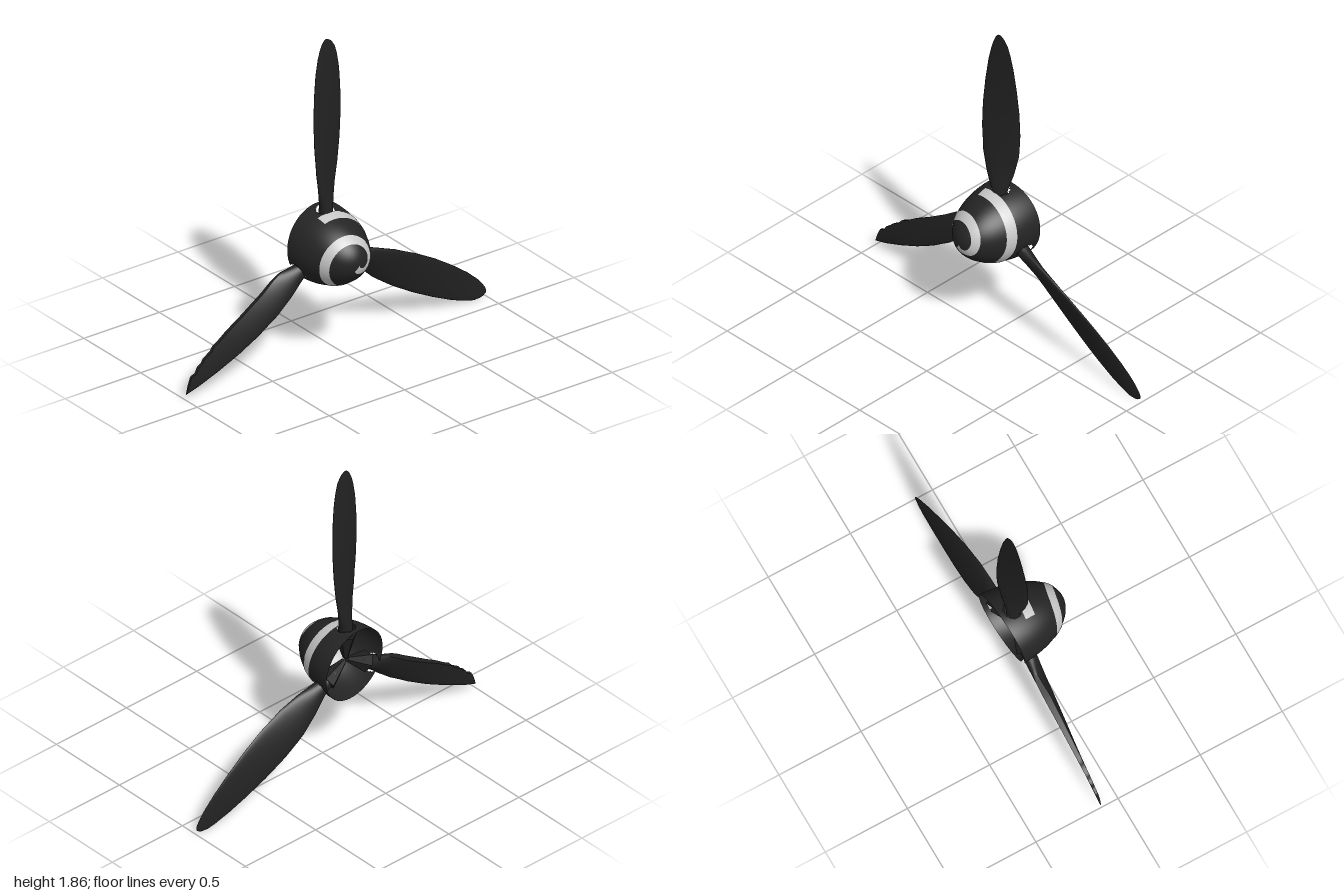
import * as THREE from 'three';

const HUB = { x: -0.065, y: 0.63 };
const BLADE_Z = -0.108;
const BLADE_ANGLES = [90, -30, 210].map(d => d * Math.PI / 180);

// Linear lookup in a short list of [key, value] pairs
function lookup(table, k) {
  if (k <= table[0][0]) return table[0][1];
  for (let i = 1; i < table.length; i++) {
    const [k0, v0] = table[i - 1], [k1, v1] = table[i];
    if (k <= k1) return v0 + (v1 - v0) * (k - k0) / (k1 - k0);
  }
  return table[table.length - 1][1];
}

// Surface from a function of (u, v); v may close on itself, cells may be skipped
function surface(fn, nu, nv, closed, skip = () => false) {
  const pos = [], index = [], cols = closed ? nv : nv + 1;
  for (let i = 0; i <= nu; i++)
    for (let j = 0; j < cols; j++) pos.push(...fn(i / nu, j / nv));
  for (let i = 0; i < nu; i++)
    for (let j = 0; j < nv; j++) {
      if (skip((i + 0.5) / nu, (j + 0.5) / nv)) continue;
      const a = i * cols + j, b = i * cols + (j + 1) % cols;
      index.push(a, a + cols, b, b, a + cols, b + cols);
    }
  const g = new THREE.BufferGeometry();
  g.setAttribute('position', new THREE.Float32BufferAttribute(pos, 3));
  g.setIndex(index);
  g.computeVertexNormals();
  return g;
}

// Spinner: half ellipsoid with a slightly tilted open rim
function spinnerPoint(a, phi, offset = 0) {
  const r = (0.215 + offset) * Math.sin(a);
  const x = r * Math.cos(phi), y = r * Math.sin(phi);
  const tilt = (a / (Math.PI / 2)) ** 2;
  return [x, y, -0.18 + (0.37 + offset) * Math.cos(a) - tilt * (0.08 * x + 0.055 * y)];
}

// Openings in the spinner around the blade roots
function inBladeHole(a, phi) {
  const [x, y, z] = spinnerPoint(a, phi);
  return BLADE_ANGLES.some(t => {
    const along = x * Math.cos(t) + y * Math.sin(t);
    const across = -x * Math.sin(t) + y * Math.cos(t);
    return along > 0 && Math.hypot(across, z - BLADE_Z + 0.006) < 0.05;
  });
}

// Spiral stripe: polar angle of its middle against degrees around the nose
const SPIRAL = [[-130, 0.09], [-90, 0.16], [0, 0.38], [90, 0.61], [180, 0.785],
  [270, 0.945], [360, 1.07], [472, 1.2]];

function spiralGeometry(offset) {
  return surface((u, v) => {
    const deg = -130 + 602 * v;
    const half = 0.115 - 0.033 * v;
    const a = Math.max(0.002, lookup(SPIRAL, deg) + (u * 2 - 1) * half);
    return spinnerPoint(a, deg * Math.PI / 180, offset);
  }, 6, 160, false);
}

// Blade: half chord and half thickness against radius
const CHORD = [[0.1, 0.038], [0.2, 0.042], [0.25, 0.055], [0.32, 0.076], [0.45, 0.103],
  [0.6, 0.114], [0.75, 0.113], [0.9, 0.102], [1.03, 0.086], [1.12, 0.067], [1.17, 0.051],
  [1.205, 0.031], [1.219, 0.016], [1.225, 0]];
const THICK = [[0.1, 0.038], [0.2, 0.038], [0.35, 0.024], [0.6, 0.017], [0.9, 0.011],
  [1.15, 0.005], [1.225, 0]];
// Ragged trailing edge of the damaged blade
const BROKEN = [[0.2, 0.07], [0.3, 0.068], [0.36, 0.066], [0.44, 0.056], [0.63, 0.047],
  [0.72, 0.046], [0.8, 0.039], [0.83, 0.041], [0.86, 0.029], [0.92, 0.027], [0.94, 0.015],
  [0.97, 0.017], [1.0, -0.003], [1.03, 0.004], [1.07, -0.025], [1.11, -0.06]];

function bladeGeometry(damaged) {
  const length = damaged ? 1.11 : 1.225;
  return surface((u, v) => {
    const r = 0.1 + (length - 0.1) * (1 - (1 - u) ** 1.4);
    const half = lookup(CHORD, r), thick = lookup(THICK, r);
    const mid = 0.009 * Math.min(1, Math.max(0, (r - 0.2) / 0.3)) * (half > 0.05 ? 1 : half / 0.05);
    const t = v * Math.PI * 2;
    let x = mid + half * Math.cos(t);
    if (damaged) x = Math.max(mid - half, Math.min(x, lookup(BROKEN, r)));
    const q = half > 0 ? (x - mid) / half : 1;
    const z = thick * Math.sqrt(Math.max(0, 1 - q * q)) * Math.sign(Math.sin(t));
    // Pitch fades out towards the tip
    const p = 0.6 * (1 - r / 1.27);
    return [x * Math.cos(p) + z * Math.sin(p), r, z * Math.cos(p) - x * Math.sin(p)];
  }, 60, 28, true);
}

export function createModel() {
  const spinnerPaint = new THREE.MeshStandardMaterial({ color: 0x242424, side: THREE.DoubleSide });
  spinnerPaint.name = 'spinner black';
  const bladePaint = new THREE.MeshStandardMaterial({ color: 0x222222, side: THREE.DoubleSide });
  bladePaint.name = 'blade black';
  const rootPaint = new THREE.MeshStandardMaterial({ color: 0x202020, flatShading: true });
  rootPaint.name = 'root black';
  const spiralPaint = new THREE.MeshStandardMaterial({ color: 0xc8c8c8, side: THREE.DoubleSide });
  spiralPaint.name = 'spiral grey';

  const model = new THREE.Group();
  model.name = 'propeller';
  const hub = new THREE.Group();
  hub.name = 'hub';
  hub.position.set(HUB.x, HUB.y, 0);
  model.add(hub);

  const add = (parent, name, geometry, material) => {
    const mesh = new THREE.Mesh(geometry, material);
    mesh.name = name;
    parent.add(mesh);
    return mesh;
  };

  // Open shell of the nose cone
  const toA = u => 0.001 + u * (Math.PI / 2 - 0.001);
  add(hub, 'spinner', surface((u, v) => spinnerPoint(toA(u), v * Math.PI * 2), 64, 180, true,
    (u, v) => inBladeHole(toA(u), v * Math.PI * 2)), spinnerPaint);

  // Stripe outside and its trace inside the shell
  add(hub, 'spiralStripe', spiralGeometry(0.003), spiralPaint);
  add(hub, 'innerSpiralStripe', spiralGeometry(-0.003), spiralPaint);

  // Three blades, each with a faceted root socket meeting at the axis
  BLADE_ANGLES.forEach((angle, i) => {
    const arm = new THREE.Group();
    arm.name = ['topBlade', 'leftBlade', 'rightBlade'][i];
    arm.position.z = BLADE_Z;
    arm.rotation.z = angle - Math.PI / 2;
    hub.add(arm);
    add(arm, 'blade', bladeGeometry(i === 2), bladePaint);
    const socket = add(arm, 'rootSocket', new THREE.CylinderGeometry(0.06, 0.015, 0.15, 6), rootPaint);
    socket.position.y = 0.085;
  });

  return model;
}
